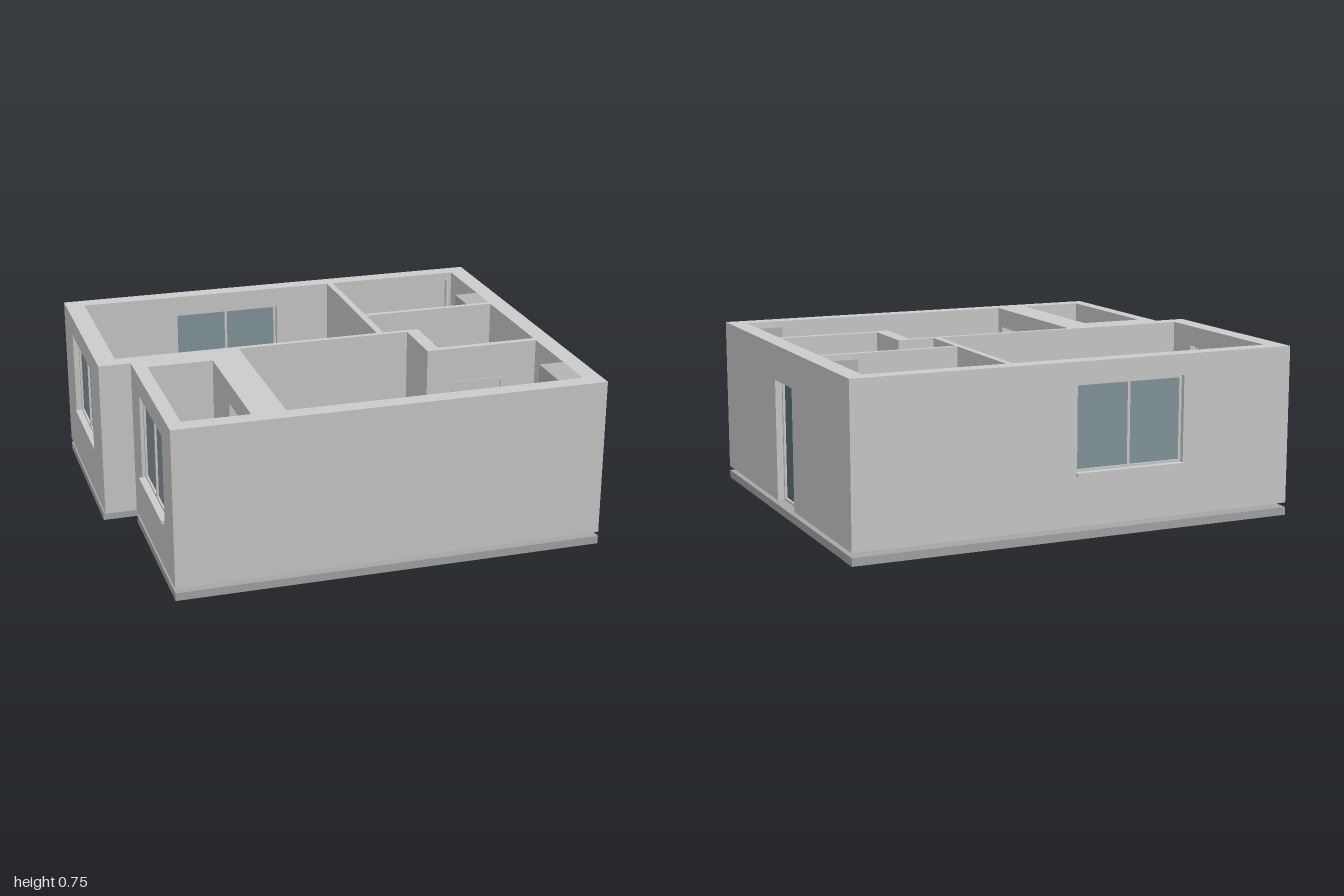
import * as THREE from 'three';

const mat = (color) => new THREE.MeshStandardMaterial({ color });
const GREY = mat(0xcccccc), SLAB = mat(0xa6a6a6), WOOD = mat(0xbcab88), TILE = mat(0xc6beb6);
const GLASS = mat(0x84979c), DARK = mat(0x5f7078), SHAFT = mat(0xb4b4b2);
const BASE = 0.055, TOP = 0.745, SILL = 0.28, HEAD = 0.655, DOOR = 0.59;

function box(parent, name, x0, x1, y0, y1, z0, z1, material = GREY) {
  const m = new THREE.Mesh(new THREE.BoxGeometry(x1 - x0, y1 - y0, z1 - z0), material);
  m.position.set((x0 + x1) / 2, (y0 + y1) / 2, (z0 + z1) / 2);
  m.name = name;
  parent.add(m);
}

// Horizontal plate from plan points [x, z]
function plate(parent, name, points, y0, y1, material) {
  const shape = new THREE.Shape(points.map(([x, z]) => new THREE.Vector2(x, -z)));
  const geo = new THREE.ExtrudeGeometry(shape, { depth: y1 - y0, bevelEnabled: false });
  geo.rotateX(-Math.PI / 2).translate(0, y0, 0);
  const m = new THREE.Mesh(geo, material);
  m.name = name;
  parent.add(m);
}

const rect = (x0, x1, z0, z1) => [[x0, z0], [x1, z0], [x1, z1], [x0, z1]];

// Straight wall, optionally with one opening { a, b, y0, y1 } along its length
function wall(parent, name, x0, x1, z0, z1, o) {
  const g = new THREE.Group();
  g.name = name;
  parent.add(g);
  if (!o) return box(g, 'wallBlock', x0, x1, BASE, TOP, z0, z1);
  const alongX = x1 - x0 > z1 - z0;
  const piece = (n, a, b, y0, y1) => alongX
    ? box(g, n, a, b, y0, y1, z0, z1) : box(g, n, x0, x1, y0, y1, a, b);
  const [s, e] = alongX ? [x0, x1] : [z0, z1];
  piece('wallBlock', s, o.a, BASE, TOP);
  piece('wallBlock', o.b, e, BASE, TOP);
  piece('lintel', o.a, o.b, o.y1, TOP);
  if (o.y0 > BASE) piece('parapet', o.a, o.b, BASE, o.y0);
}

// Frame with leaves filling an opening; d0..d1 is its span through the wall
function filling(parent, name, alongX, o, d0, d1, leaves, leafMaterial, f = 0.012) {
  const g = new THREE.Group();
  g.name = name;
  parent.add(g);
  const part = (n, a, b, y0, y1, p, q, m) => alongX
    ? box(g, n, a, b, y0, y1, p, q, m) : box(g, n, p, q, y0, y1, a, b, m);
  part('jamb', o.a, o.a + f, o.y0, o.y1, d0, d1);
  part('jamb', o.b - f, o.b, o.y0, o.y1, d0, d1);
  part('headRail', o.a + f, o.b - f, o.y1 - f, o.y1, d0, d1);
  part('bottomRail', o.a + f, o.b - f, o.y0, o.y0 + f, d0, d1);
  const mid = (o.a + o.b) / 2, c = (d0 + d1) / 2, t = (d1 - d0) * 0.2;
  if (leaves === 2) part('mullion', mid - f / 2, mid + f / 2, o.y0 + f, o.y1 - f, d0, d1);
  part('leaf', o.a + f, o.b - f, o.y0 + f, o.y1 - f, c - t, c + t, leafMaterial);
}

export function createModel() {
  const model = new THREE.Group();
  model.name = 'apartment';

  // Base slab with the slot under the step in the outer wall
  plate(model, 'baseSlab', [[-1, -0.85], [1, -0.85], [1, 0.855], [-0.86, 0.855], [-0.86, 0.07],
    [-0.41, 0.07], [-0.41, 0.01], [-1, 0.01]], 0, 0.035, SLAB);

  // Room floors
  const floors = [
    ['livingFloor', rect(-0.915, 0.275, -0.775, -0.01), WOOD],
    ['bedroomFloor', [[-0.37, 0.015], [0.41, 0.015], [0.41, 0.285], [0.92, 0.285], [0.92, 0.58],
      [0.81, 0.58], [0.81, 0.78], [-0.37, 0.78]], WOOD],
    ['bathroomFloor', [[0.305, -0.775], [0.92, -0.775], [0.92, -0.43], [0.81, -0.43],
      [0.81, -0.28], [0.305, -0.28]], TILE],
    ['hallFloor', [[0.305, -0.255], [0.92, -0.255], [0.92, 0.255], [0.47, 0.255],
      [0.47, -0.01], [0.305, -0.01]], TILE],
    ['balconyFloor', rect(-0.8, -0.515, 0.13, 0.78), TILE],
  ];
  for (const [name, pts, m] of floors) plate(model, name, pts, 0.035, 0.053, m);

  // Openings, measured along their walls
  const win = (a, b) => ({ a, b, y0: SILL, y1: HEAD });
  const door = (a, b, y1 = DOOR) => ({ a, b, y0: BASE, y1 });
  const backWin = win(-0.48, 0.02), sideWin = win(-0.63, -0.16), balconyWin = win(0.23, 0.685);
  const entry = door(-0.13, 0.1), living = door(-0.265, -0.03), bath = door(0.47, 0.66);
  const bedroom = door(0.53, 0.77), balcony = door(0.42, 0.74, HEAD);

  // Outer walls
  wall(model, 'backWall', -1, 1, -0.85, -0.775, backWin);
  wall(model, 'rightSideWall', -1, -0.915, -0.775, -0.01, sideWin);
  wall(model, 'leftSideWall', 0.92, 1, -0.775, 0.78, entry);
  wall(model, 'frontWall', -0.45, 1, 0.78, 0.855);
  wall(model, 'balconyFrontWall', -0.86, -0.45, 0.78, 0.84);
  wall(model, 'frontPanel', -0.86, -0.45, 0.84, 0.855);
  wall(model, 'balconySideWall', -0.86, -0.8, 0.13, 0.78, balconyWin);
  wall(model, 'stepWall', -1, -0.37, -0.01, 0.065);
  wall(model, 'stepWallInner', -0.86, -0.37, 0.065, 0.13);

  // Inner partitions
  wall(model, 'livingPartition', 0.275, 0.305, -0.775, -0.01, living);
  wall(model, 'bathroomPartition', 0.305, 0.92, -0.28, -0.255, bath);
  wall(model, 'middlePartition', -0.37, 0.47, -0.01, 0.015);
  wall(model, 'hallCornerWall', 0.41, 0.47, 0.015, 0.285);
  wall(model, 'bedroomPartition', 0.47, 0.92, 0.255, 0.285, bedroom);
  wall(model, 'balconyPartition', -0.515, -0.37, 0.13, 0.78, balcony);

  // Service shafts and riser pipe
  box(model, 'bathroomShaft', 0.81, 0.92, 0.04, TOP, -0.43, -0.28, SHAFT);
  box(model, 'bedroomShaft', 0.81, 0.92, 0.04, TOP, 0.58, 0.78, SHAFT);
  const pipe = new THREE.Mesh(new THREE.CylinderGeometry(0.008, 0.008, 0.67, 16), GREY);
  pipe.position.set(0.885, 0.388, -0.745);
  pipe.name = 'riserPipe';
  model.add(pipe);

  // Windows and doors
  filling(model, 'backWindow', true, backWin, -0.83, -0.8, 2, GLASS);
  filling(model, 'sideWindow', false, sideWin, -0.975, -0.945, 2, GLASS);
  filling(model, 'balconyWindow', false, balconyWin, -0.845, -0.815, 2, GLASS);
  filling(model, 'balconyDoor', false, balcony, -0.46, -0.43, 2, GLASS);
  filling(model, 'entryDoor', false, entry, 0.935, 0.97, 1, DARK, 0.01);
  filling(model, 'livingDoor', false, living, 0.27, 0.308, 1, GREY);
  filling(model, 'bathroomDoor', true, bath, -0.284, -0.251, 1, GREY);
  filling(model, 'bedroomDoor', true, bedroom, 0.251, 0.289, 1, GREY);

  // Window sills, outside and inside
  const y0 = SILL - 0.012, y1 = SILL + 0.002;
  box(model, 'backSillOuter', -0.48, 0.02, y0, y1, -0.86, -0.83);
  box(model, 'backSillInner', -0.48, 0.02, y0, y1, -0.8, -0.765);
  box(model, 'sideSillOuter', -1.004, -0.975, y0, y1, -0.63, -0.16);
  box(model, 'sideSillInner', -0.945, -0.91, y0, y1, -0.63, -0.16);
  box(model, 'balconySillOuter', -0.875, -0.845, y0, y1, 0.23, 0.685);
  box(model, 'balconySillInner', -0.815, -0.785, y0, y1, 0.23, 0.685);

  return model;
}
